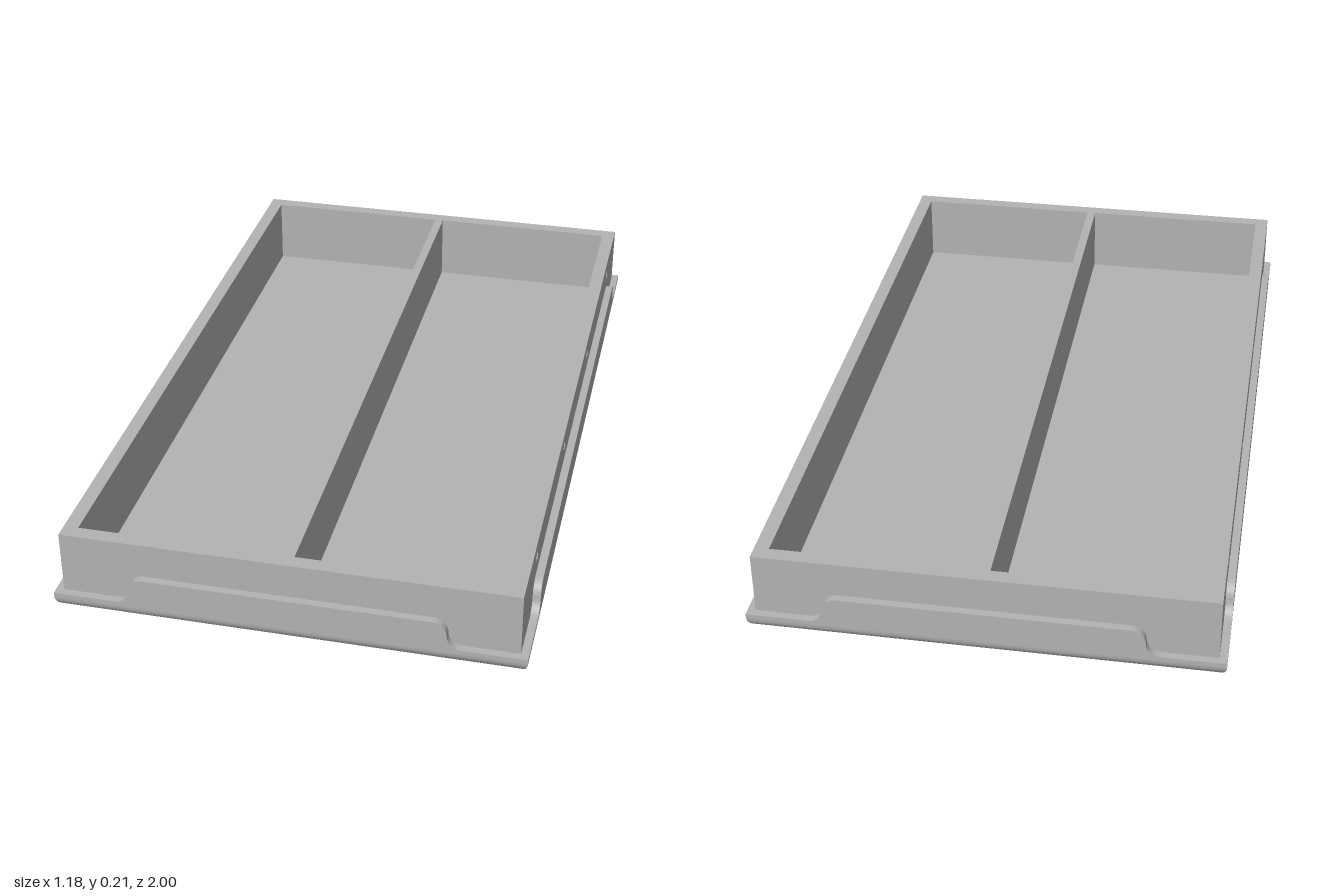
import * as THREE from 'three';
import { toCreasedNormals } from 'three/addons/utils/BufferGeometryUtils.js';

const HX = 0.59, HZ = 1.0;          // half size of the outer pan
const BX = 0.57, BZ = 0.98;         // half size of the inner box
const TOP = 0.212, FLOOR = 0.022;   // rim and compartment floor heights
const FILLET = 0.036, LOW = 0.047, HIGH = 0.12;
const SKIN = 0.01;                  // depth of the blind side holes

const grey = new THREE.MeshStandardMaterial({ color: 0xb3b3b3 });
grey.name = 'grey';

function part(name, geometry) {
  const mesh = new THREE.Mesh(toCreasedNormals(geometry, 0.5), grey);
  mesh.name = name;
  return mesh;
}

function extrude(shape, depth) {
  return new THREE.ExtrudeGeometry(shape, { depth, bevelEnabled: false, curveSegments: 16 });
}

function rect(Type, x0, y0, x1, y1) {
  const r = new Type();
  r.moveTo(x0, y0).lineTo(x1, y0).lineTo(x1, y1).lineTo(x0, y1).closePath();
  return r;
}

// Pan bottom: rectangular rings following a quarter-round edge
function panGeometry() {
  const steps = 10, pos = [], index = [0, 2, 1, 0, 3, 2];
  for (let i = 0; i <= steps; i++) {
    const a = (i / steps) * Math.PI / 2;
    const inset = FILLET * (1 - Math.sin(a)), y = FILLET * (1 - Math.cos(a));
    for (const [sx, sz] of [[1, 1], [1, -1], [-1, -1], [-1, 1]]) {
      pos.push(sx * (HX - inset), y, sz * (HZ - inset));
    }
  }
  for (let i = 0; i < steps; i++) {
    for (let j = 0; j < 4; j++) {
      const a = i * 4 + j, b = i * 4 + (j + 1) % 4;
      index.push(a, b, b + 4, a, b + 4, a + 4);
    }
  }
  const g = new THREE.BufferGeometry();
  g.setAttribute('position', new THREE.Float32BufferAttribute(pos, 3));
  g.setIndex(index);
  return g;
}

// Skirt panel: low at the corners, rising through an S-curve at distance c
function skirtShape(half, c) {
  const r = (HIGH - LOW) / 2, mid = LOW + r, k = r * 0.45;
  const s = new THREE.Shape();
  s.moveTo(-half, FILLET).lineTo(half, FILLET).lineTo(half, LOW).lineTo(c + r, LOW);
  s.bezierCurveTo(c + k, LOW, c, mid - r + k, c, mid);
  s.bezierCurveTo(c, HIGH - k, c - k, HIGH, c - r, HIGH);
  s.lineTo(-c + r, HIGH);
  s.bezierCurveTo(-c + k, HIGH, -c, HIGH - k, -c, mid);
  s.bezierCurveTo(-c, mid - r + k, -c - k, LOW, -c - r, LOW);
  s.lineTo(-half, LOW).closePath();
  return s;
}

export function createModel() {
  const model = new THREE.Group();
  model.name = 'dividedTray';
  model.add(part('panBottom', panGeometry()));

  // Four skirts around the box
  const sides = [['front', 0], ['left', 1], ['back', 2], ['right', 3]];
  for (const [name, turn] of sides) {
    const isEnd = turn % 2 === 0;
    const shape = isEnd ? skirtShape(HX, 0.395) : skirtShape(BZ, 0.805);
    const skirt = part(name + 'Skirt', extrude(shape, HX - BX));
    skirt.position.z = isEnd ? BZ : BX;
    const pivot = new THREE.Group();
    pivot.name = name + 'Side';
    pivot.rotation.y = turn * Math.PI / 2;
    pivot.add(skirt);

    // Long walls carry an outer panel with four blind holes
    if (!isEnd) {
      const panel = rect(THREE.Shape, -BZ, FLOOR, BZ, TOP);
      for (const z of [-0.756, -0.252, 0.252, 0.756]) {
        const hole = new THREE.Path();
        hole.absarc(z, 0.17, 0.013, 0, Math.PI * 2, true);
        panel.holes.push(hole);
      }
      const wall = part(name + 'WallPanel', extrude(panel, SKIN));
      wall.position.z = BX - SKIN;
      pivot.add(wall);
    }
    model.add(pivot);
  }

  // Box walls and central divider around two compartments
  const frame = rect(THREE.Shape, -BX + SKIN, -BZ, BX - SKIN, BZ);
  for (const [x0, x1] of [[-0.533, -0.0125], [0.0125, 0.533]]) {
    frame.holes.push(rect(THREE.Path, x0, -0.942, x1, 0.942));
  }
  const walls = part('wallsAndDivider', extrude(frame, TOP - FLOOR));
  walls.rotation.x = -Math.PI / 2;
  walls.position.y = FLOOR;
  model.add(walls);

  // Compartment floor
  const floor = part('compartmentFloor', new THREE.BoxGeometry(1.1, 0.01, 1.92));
  floor.position.y = FLOOR - 0.005;
  model.add(floor);

  return model;
}
